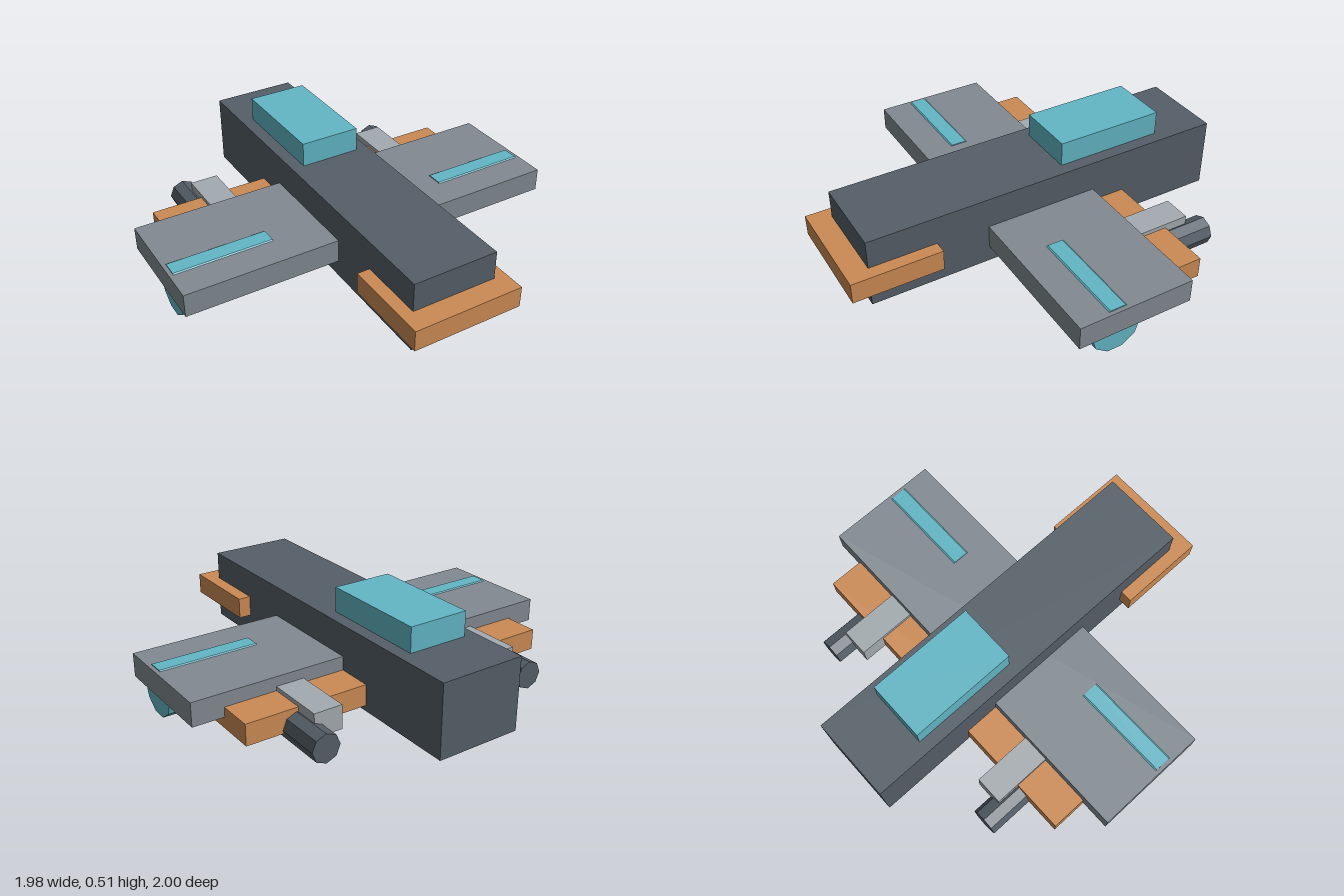
import * as THREE from 'three';

export function createModel() {
  const model = new THREE.Group();
  const mat = (color) => new THREE.MeshStandardMaterial({ color, flatShading: true });
  const dark = mat(0x555e68), grey = mat(0x828a91), light = mat(0xa4abb0);
  const orange = mat(0xcc8b54), cyan = mat(0x62b6c6);

  // Box given by its lower and upper bounds on each axis
  function box(name, material, [x0, x1], [y0, y1], [z0, z1]) {
    const mesh = new THREE.Mesh(new THREE.BoxGeometry(x1 - x0, y1 - y0, z1 - z0), material);
    mesh.position.set((x0 + x1) / 2, (y0 + y1) / 2, (z0 + z1) / 2);
    mesh.name = name;
    model.add(mesh);
  }

  // Low-poly cylinder lying along x or z
  function bar(name, material, radius, length, sides, axis, x, y, z) {
    const geo = new THREE.CylinderGeometry(radius, radius, length, sides);
    if (axis === 'x') geo.rotateZ(Math.PI / 2);
    else geo.rotateX(Math.PI / 2);
    const mesh = new THREE.Mesh(geo, material);
    mesh.position.set(x, y, z);
    mesh.name = name;
    model.add(mesh);
  }

  // Hull, canopy, wings and plates
  box('fuselage', dark, [-0.215, 0.215], [0.032, 0.392], [-1, 0.89]);
  box('canopy', cyan, [-0.152, 0.152], [0.392, 0.515], [-0.712, -0.155]);
  box('wing', grey, [-0.99, 0.99], [0.117, 0.235], [-0.303, 0.282]);
  box('nosePlate', orange, [-0.279, 0.279], [0.142, 0.248], [0.55, 1]);
  box('tailPlate', orange, [-0.834, 0.834], [0.06, 0.166], [-0.483, -0.165]);

  // Paired parts: pods through the wings, engine brackets and engines
  for (const [s, side] of [[1, 'left'], [-1, 'right']]) {
    bar(side + 'WingPod', cyan, 0.126, 0.496, 10, 'x', s * 0.722, 0.12, 0.08);
    const xs = [s * 0.43, s * 0.573].sort((a, b) => a - b);
    box(side + 'EngineBracket', light, xs, [0.068, 0.187], [-0.605, -0.2]);
    bar(side + 'Engine', dark, 0.071, 0.32, 8, 'z', s * 0.583, 0.075, -0.55);
  }
  return model;
}
